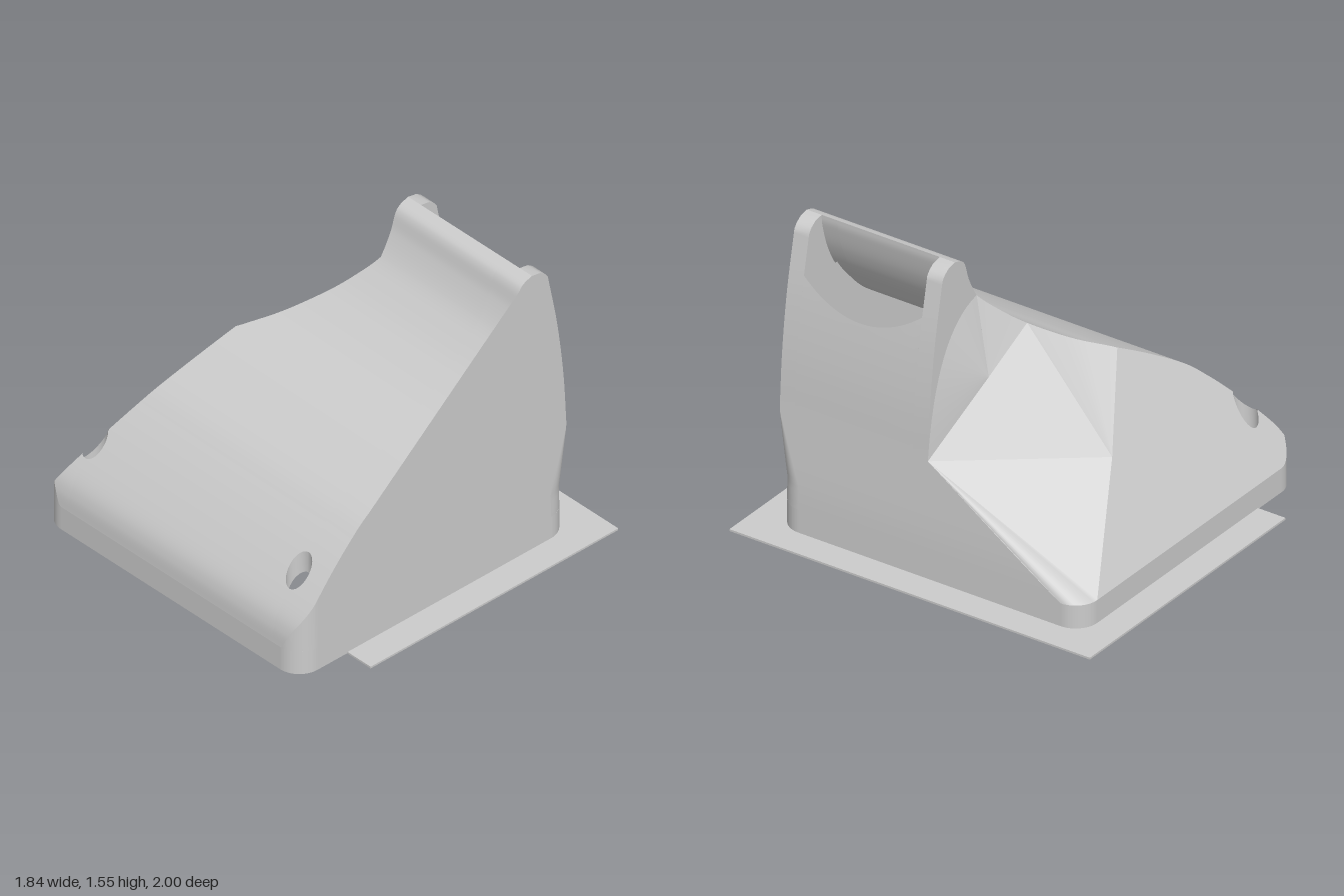
import * as THREE from 'three';

const mat = new THREE.MeshStandardMaterial({ color: 0xcccccc, side: THREE.DoubleSide });
const FRONT = 0.847, INNER = 0.025, BASE = 0.13, R = 0.12, LEFT = -0.922, RIGHT = 0.767;
const HX = -0.757, HZ = 0.677, HR = 0.06, BOSS_X = 0.595;
const S0 = 0.11, S1 = 0.765, CAVITY = 0.745, WALL = 0.1;
const V2 = (p) => new THREE.Vector2(p[0], p[1]);
const { lerp, clamp } = THREE.MathUtils;
const range = (a, b, n) => Array.from({ length: n + 1 }, (_, i) => lerp(a, b, i / n));

// Piecewise linear lookup through sorted [key, value] pairs
function lookup(pts, k) {
  let i = 1;
  while (i < pts.length - 1 && pts[i][0] < k) i++;
  const [a, b] = [pts[i - 1], pts[i]];
  return lerp(a[1], b[1], clamp((k - a[0]) / (b[0] - a[0]), 0, 1));
}
const smooth = (pts, n) => new THREE.SplineCurve(pts.map(V2)).getPoints(n).map((p) => [p.x, p.y]);

// Side profiles: the dished roof and its underside y(x), and the steep face x(y)
const roof = smooth([[LEFT, BASE], [-0.912, 0.21], [-0.88, 0.29], [-0.8, 0.4], [-0.7, 0.52], [-0.6, 0.625],
  [-0.5, 0.715], [-0.32, 0.83], [-0.14, 0.93], [0.02, 1.01], [0.18, 1.12], [0.28, 1.21], [0.36, 1.3],
  [0.42, 1.41], [0.45, 1.5], [0.48, 1.535], [0.53, 1.553]], 110);
const under = smooth([[-0.85, BASE], [-0.83, 0.2], [-0.79, 0.28], [-0.72, 0.38], [-0.55, 0.57], [-0.27, 0.75],
  [-0.1, 0.84], [0.06, 0.92], [0.23, 1.04], [0.34, 1.15], [0.43, 1.26], [0.49, 1.38], [0.525, 1.5], [0.53, 1.553]], 80);
const roofY = (x) => lookup(roof, x), underY = (x) => lookup(under, x);
const steep = smooth([[0, RIGHT], [0.25, 0.765], [0.6, 0.744], [0.9, 0.725], [1.2, 0.687], [1.48, 0.632]], 60);
const steepX = (y) => lookup(steep, y);
const cap = [[0.628, 1.5], [0.61, 1.524], [0.58, 1.544], [0.53, 1.553]];

// Plan outline at the rounded corners, and the sloping back plane
const cornerZ = (x) => {
  const d = Math.max(0, LEFT + R - x);
  return FRONT - R + Math.sqrt(Math.max(0, R * R - d * d));
};
const slopeY = (z) => BASE + (z + FRONT) * 1.8;
const slopeZ = (y) => (y - BASE) / 1.8 - FRONT;
const roofBack = (x) => (x <= -0.14 ? Math.max(slopeZ(roofY(x)), -cornerZ(x))
  : x < 0.36 ? lerp(-0.4, INNER, (x + 0.14) / 0.5) : INNER);
const underBack = (x) => (x <= -0.14 ? Math.max(slopeZ(underY(x)) + WALL, -CAVITY)
  : x < 0.36 ? lerp(slopeZ(underY(-0.14)) + WALL, S0, (x + 0.14) / 0.5) : S0);
const holeHalf = (x) => Math.sqrt(Math.max(0, HR * HR - (x - HX) ** 2));

export function createModel() {
  const group = new THREE.Group();
  const add = (name, geo) => {
    const m = new THREE.Mesh(geo, mat);
    m.name = name;
    group.add(m);
    return m;
  };
  const mesh = (name, points, idx) => {
    const g = new THREE.BufferGeometry();
    g.setAttribute('position', new THREE.Float32BufferAttribute(points.flat(), 3));
    if (idx) g.setIndex(idx);
    g.computeVertexNormals();
    add(name, g);
  };
  // Surface through rows of equally many points
  const loft = (name, rows) => {
    const n = rows[0].length, idx = [];
    for (let i = 0; i < rows.length - 1; i++) for (let j = 0; j < n - 1; j++) {
      const a = i * n + j;
      idx.push(a, a + 1, a + n, a + 1, a + n + 1, a + n);
    }
    mesh(name, rows.flat(), idx);
  };
  // Flat-shaded fan from one apex
  const fan = (name, apex, pts) => mesh(name, pts.slice(1).flatMap((p, i) => [apex, pts[i], p]));
  const panel = (name, pts, z) => {
    add(name, new THREE.ShapeGeometry(new THREE.Shape(pts.map(V2)))).position.z = z;
  };
  const slab = (name, shape, y, h) => {
    const g = new THREE.ExtrudeGeometry(shape, { depth: h, bevelEnabled: false, curveSegments: 12 });
    g.rotateX(-Math.PI / 2);
    add(name, g).position.y = y;
  };
  const drill = (shape, x, z) => shape.holes.push(new THREE.Path().absarc(x, z, HR, 0, Math.PI * 2, true));

  // Thin mounting plate, open on one side
  const nook = [[0.43, CAVITY], [0.47, 0.62], [0.52, 0.565], [0.58, 0.545], [0.72, 0.54]];
  const flip = (pts) => pts.map(([x, z]) => [x, -z]).reverse();
  const plate = new THREE.Shape([[-0.615, -1], [0.922, -1], [0.922, 1], [-0.615, 1], [-0.615, CAVITY],
    ...nook, ...flip(nook), [-0.615, -CAVITY]].map(V2));
  for (const s of [-1, 1]) drill(plate, BOSS_X, s * HZ);
  slab('mountingPlate', plate, 0, 0.01);

  // Rounded base ring with screw bosses in the corners
  const base = new THREE.Shape();
  base.absarc(RIGHT - R, FRONT - R, R, 0, Math.PI / 2);
  base.absarc(LEFT + R, FRONT - R, R, Math.PI / 2, Math.PI);
  base.absarc(LEFT + R, R - FRONT, R, Math.PI, Math.PI * 1.5);
  base.absarc(RIGHT - R, R - FRONT, R, Math.PI * 1.5, Math.PI * 2);
  const nookL = [[-0.86, 0.1], [-0.84, 0.35], [-0.79, 0.5], [-0.72, 0.56], [-0.65, 0.62], [-0.62, CAVITY]];
  base.holes.push(new THREE.Path([...nookL, ...nook, ...flip(nook), ...flip(nookL)].map(V2)));
  for (const s of [-1, 1]) for (const x of [HX, BOSS_X]) drill(base, x, s * HZ);
  slab('baseRing', base, 0.004, BASE - 0.004);

  // Curved roof, in bands split at the screw holes
  const keys = [LEFT + R, -0.14, 0.18, 0.36, ...range(0, Math.PI, 16).map((a) => HX + HR * Math.cos(a))];
  const stations = (profile) => [...profile.map((p) => p[0]), ...keys].sort((a, b) => a - b);
  const roofSkin = (name, xs, y, back, front) => {
    const band = (z0, z1) => loft(name, xs.map((x) =>
      [z0, z1].map((f) => [x, y(x), clamp(f(x), back(x), front(x))])));
    band(back, (x) => -HZ - holeHalf(x));
    band((x) => holeHalf(x) - HZ, (x) => HZ - holeHalf(x));
    band((x) => HZ + holeHalf(x), front);
  };
  const xs = stations(roof), xsIn = stations(under).filter((x) => x >= under[0][0]);
  roofSkin('roof', xs, roofY, roofBack, cornerZ);
  roofSkin('roofUnderside', xsIn, underY, underBack, (x) => (x < 0.36 ? CAVITY : S1));

  // Sloping back, outside and inside, split at the same hole
  const slopeSkin = (name, sx, back, low, qz, endX, shift) => {
    const top = (x) => (x <= -0.14 ? back(x) : x <= 0.18 ? lerp(back(-0.14), qz, (x + 0.14) / 0.32)
      : lerp(qz, low(x), (x - 0.18) / (endX - 0.18)));
    const rows = [...sx.filter((x) => x <= 0.18), endX];
    for (const s of [-1, 1]) loft(name, rows.map((x) => {
      const cut = clamp(s * holeHalf(x) - HZ, low(x), Math.max(low(x), top(x)));
      return (s > 0 ? [cut, top(x)] : [low(x), cut]).map((z) => [x, slopeY(z - shift), z]);
    }));
  };
  slopeSkin('backSlope', xs, roofBack, (x) => -cornerZ(x), -0.6, RIGHT - R, 0);
  slopeSkin('backSlopeInside', xsIn, underBack, () => -CAVITY, -0.53, 0.66, WALL);

  // Rounded left corners
  const cornerXs = xs.filter((x) => x <= LEFT + R);
  loft('frontLeftCorner', cornerXs.map((x) => [[x, BASE, cornerZ(x)], [x, roofY(x), cornerZ(x)]]));
  loft('backLeftCorner', cornerXs.map((x) => [[x, BASE, -cornerZ(x)],
    [x, Math.min(roofY(x), slopeY(-cornerZ(x))), -cornerZ(x)]]));

  // Screw hole walls through the roof; the front one ends over a closed boss
  for (const s of [-1, 1]) loft('screwHole', range(0, Math.PI * 2, 32).map((a) => {
    const x = HX + HR * Math.cos(a), z = s * HZ + HR * Math.sin(a);
    const limit = (shift) => (s < 0 ? slopeY(z - shift) : Infinity);
    return [[x, Math.min(underY(x), limit(WALL)), z], [x, Math.min(roofY(x), limit(0)), z]];
  }));
  const floor = add('bossCover', new THREE.CircleGeometry(HR, 32).rotateX(-Math.PI / 2));
  floor.position.set(HX, BASE - 0.005, HZ);

  // Facets of the back shoulder
  const A = [steepX(0.61), 0.61, INNER], Q = [0.18, slopeY(-0.6), -0.6], S = [0.4, 0.92, -0.07];
  const edge = (a, b) => xs.filter((x) => x >= a && x <= b).map((x) => [x, roofY(x), roofBack(x)]);
  const P = [0.18, roofY(0.18), roofBack(0.18)];
  fan('shoulderFacet', Q, edge(-0.14, 0.18));
  fan('shoulderFacet', Q, [P, S, A]);
  const wallYs = range(BASE, 0.61, 16);
  const wallEnd = (y) => lerp(R - FRONT, INNER, (y - BASE) / (0.61 - BASE));
  const corner = range(Math.PI / 2, 0, 8).map((a) =>
    [RIGHT - R + R * Math.cos(a), BASE, -(FRONT - R + R * Math.sin(a))]);
  const rim = [Q, ...corner, ...wallYs.map((y) => [steepX(y), y, wallEnd(y)])];
  loft('lowerBackFacet', [rim.map(() => A), rim]);
  const arc = new THREE.QuadraticBezierCurve(V2([0.36, 1.3]), V2([0.68, 1.24]), V2(A)).getPoints(16);
  fan('hollowCone', S, [...edge(0.18, 0.36), ...arc.map((p) => [p.x, p.y, INNER])]);

  // Cavity walls inside the shoulder and tower
  const AI = [0.66, 0.55, S0], QI = [0.18, slopeY(-0.53 - WALL), -0.53], foot = [0.71, BASE, -0.6];
  const edgeIn = xsIn.filter((x) => x >= -0.14 && x <= 0.18).map((x) => [x, underY(x), underBack(x)]);
  fan('shoulderInside', QI, [...edgeIn, AI]);
  fan('shoulderInside', AI, [edgeIn.at(-1), [0.36, underY(0.36), S0]]);
  fan('lowerBackInside', AI, [QI, [0.66, BASE, -CAVITY], foot]);
  const ceiling = under.filter((p) => p[0] < 0.44).reverse();
  panel('towerBackInside', [AI, [0.61, 0.9], [0.61, 1.3], ...ceiling.filter((p) => p[0] > 0.36),
    [0.36, underY(0.36)]], S0);
  panel('frontWallInside', [[0.71, BASE], AI, [0.61, 0.9], [0.61, 1.3], ...ceiling], CAVITY);
  loft('rightWallInside', [foot, AI, [0.61, 0.9, S0]].map((p) => [p, [p[0], p[1], CAVITY]]));

  // Tower walls
  const rightUp = (y0) => [...range(y0, 1.48, 20).map((y) => [steepX(y), y]), ...cap];
  const crest = roof.filter((p) => p[0] > 0.36).reverse().slice(1);
  panel('towerBackWall', [...rightUp(0.61), ...crest, ...arc.map((p) => [p.x, p.y]).slice(0, -1)], INNER);
  panel('frontWall', [[LEFT + R, BASE], ...wallYs.map((y) => [steepX(y) - R, y]), ...rightUp(0.61),
    ...roof.filter((p) => p[0] >= 0.45 && p[0] < 0.53).reverse(),
    ...roof.filter((p) => p[0] > LEFT + R && p[0] < -0.48).reverse(), [LEFT + R, roofY(LEFT + R)]], FRONT);

  // Steep face, with the mouth cut into its top
  const lipY = (z) => 1.17 + 0.13 * ((z - (S0 + S1) / 2) / ((S1 - S0) / 2)) ** 2;
  for (const [a, b] of [[INNER, S0], [S1, FRONT]])
    loft('mouthSide', rightUp(0.61).map(([x, y]) => [[x, y, a], [x, y, b]]));
  const mouthZs = range(S0, S1, 28);
  loft('steepFace', mouthZs.map((z) => range(0.61, lipY(z), 14).map((y) => [steepX(y), y, z])));
  loft('mouthLip', mouthZs.map((z) => [[steepX(lipY(z)), lipY(z), z], [0.61, 0.9, z]]));
  for (const z of [S0, S1]) panel('mouthCheek', [...rightUp(1.28), ...crest, [0.4, 1.2]], z);

  // Lower steep face, whose front corner rounds off towards the base
  loft('lowerRightWall', wallYs.map((y) => {
    const x = steepX(y), r = R * clamp((0.6 - y) / 0.35, 0, 1);
    return [[x, y, wallEnd(y)], ...range(0, Math.PI / 2, 8).map((a) =>
      [x - r + r * Math.cos(a), y, FRONT - r + r * Math.sin(a)]), [x - R, y, FRONT]];
  }));
  return group;
}
